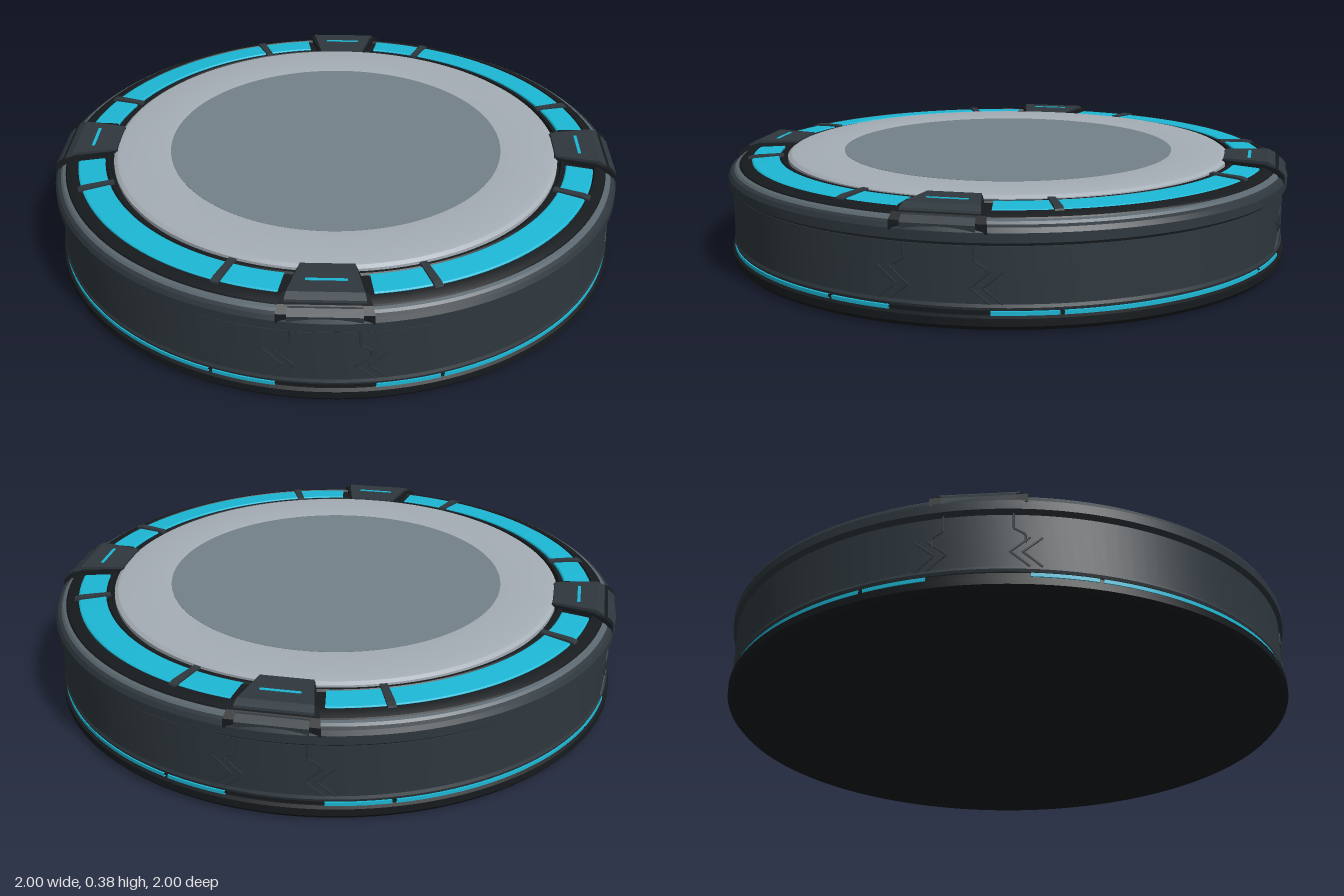
import * as THREE from 'three';
import { toCreasedNormals } from 'three/addons/utils/BufferGeometryUtils.js';

const mat = (color, side = THREE.FrontSide) => new THREE.MeshStandardMaterial({ color, side });
const DARK = mat(0x2f383e), BLACK = mat(0x171b1e), TRIM = mat(0x5a666e);
const CYAN = mat(0x1cb8d6, THREE.DoubleSide), SILVER = mat(0xa6aeb6), SLATE = mat(0x74828a);
const rad = THREE.MathUtils.degToRad;

function add(parent, name, geometry, material) {
  const mesh = new THREE.Mesh(geometry, material);
  mesh.name = name;
  parent.add(mesh);
  return mesh;
}

// Turned part from [radius, height] pairs; angles in degrees from the front
function turned(points, start = 0, sweep = 360) {
  const segments = Math.max(4, Math.round(sweep / 2.5));
  const profile = points.map(([r, y]) => new THREE.Vector2(r, y));
  return toCreasedNormals(new THREE.LatheGeometry(profile, segments, rad(start), rad(sweep)), 0.35);
}

// Radial [radius, height] outline, widening from inner to outer half width
function wedge(points, innerHalf, outerHalf) {
  const shape = new THREE.Shape(points.map(([r, y]) => new THREE.Vector2(r, y)));
  const geo = new THREE.ExtrudeGeometry(shape, { depth: 2, bevelEnabled: false });
  geo.translate(0, 0, -1);
  const radii = points.map((p) => p[0]);
  const min = Math.min(...radii), max = Math.max(...radii);
  const p = geo.attributes.position;
  for (let i = 0; i < p.count; i++) {
    const t = (p.getX(i) - min) / (max - min);
    p.setZ(i, p.getZ(i) * THREE.MathUtils.lerp(innerHalf, outerHalf, t));
  }
  geo.computeVertexNormals();
  return geo;
}

// Thin raised line on the side wall through [degrees, height] points
function wallLine(points) {
  const path = new THREE.CurvePath();
  const v = points.map(([a, y]) => new THREE.Vector3(0.986 * Math.cos(rad(a)), y, 0.986 * Math.sin(rad(a))));
  for (let i = 1; i < v.length; i++) path.add(new THREE.LineCurve3(v[i - 1], v[i]));
  return new THREE.TubeGeometry(path, 24, 0.004, 4);
}

// Bracket gripping the rim, with its local x pointing outward
function createClamp() {
  const clamp = new THREE.Group();
  clamp.name = 'rimClamp';
  add(clamp, 'clampBase', wedge(
    [[0.75, 0.335], [0.99, 0.3], [0.988, 0.33], [0.965, 0.35], [0.92, 0.363], [0.755, 0.366]], 0.08, 0.15), BLACK);
  add(clamp, 'clampPlate', wedge(
    [[0.775, 0.35], [0.96, 0.34], [0.955, 0.36], [0.93, 0.373], [0.78, 0.373]], 0.085, 0.125), DARK);
  add(clamp, 'clampFoot', wedge(
    [[0.94, 0.3], [0.993, 0.3], [0.993, 0.325], [0.975, 0.345], [0.94, 0.355]], 0.11, 0.115), DARK);
  const light = add(clamp, 'clampLight', new THREE.BoxGeometry(0.011, 0.006, 0.13), CYAN);
  light.position.set(0.867, 0.372, 0);
  // Wall detailing below the clamp: seams and chevrons pointing at its centre
  for (const s of [-1, 1]) {
    add(clamp, 'wallSeam', wallLine([[s * 6.2, 0.27], [s * 6.2, 0.215], [s * 8.2, 0.195], [s * 8.2, 0.165]]), DARK);
    for (const shift of [0, 2.2]) {
      add(clamp, 'wallChevron', wallLine(
        [[s * (9 + shift), 0.185], [s * (5.5 + shift), 0.135], [s * (9 + shift), 0.085]]), DARK);
    }
  }
  return clamp;
}

export function createModel() {
  const model = new THREE.Group();
  model.name = 'roundPlatform';

  // Stacked shell
  add(model, 'baseFlange', turned(
    [[0, 0], [0.965, 0], [0.985, 0.006], [0.997, 0.02], [0.997, 0.044], [0.985, 0.05], [0.9, 0.05]]), BLACK);
  add(model, 'lightGroove', turned([[0.98, 0.045], [0.98, 0.075]]), BLACK);
  add(model, 'sideWall', turned(
    [[0.95, 0.066], [0.987, 0.066], [0.99, 0.075], [0.986, 0.085], [0.986, 0.262], [0.95, 0.266]]), DARK);
  add(model, 'rim', turned(
    [[0.95, 0.26], [0.985, 0.263], [1, 0.275], [1, 0.305], [0.992, 0.32], [0.978, 0.327]]), DARK);
  add(model, 'rimTrim', turned([[0.98, 0.326], [0.973, 0.334], [0.962, 0.338]]), TRIM);
  add(model, 'rimShoulder', turned(
    [[0.962, 0.334], [0.958, 0.342], [0.935, 0.352], [0.922, 0.354], [0.918, 0.346], [0.82, 0.351],
      [0.815, 0.358], [0.805, 0.358], [0.8, 0.345], [0.77, 0.345]]), BLACK);

  // Raised centre
  add(model, 'centreRing', turned(
    [[0.792, 0.34], [0.792, 0.358], [0.78, 0.366], [0.765, 0.369], [0.61, 0.369], [0.59, 0.367], [0.59, 0.35]]), SILVER);
  add(model, 'centreDisc', turned([[0.591, 0.35], [0.591, 0.368], [0, 0.368]]), SLATE);

  // Four quarters, each with light segments, dividers and a clamp
  const cuts = [-36.3, -23.5, 23.5, 36.3];
  for (let q = 0; q < 4; q++) {
    for (let i = 0; i < 3; i++) {
      const start = q * 90 + cuts[i] + 0.4, sweep = cuts[i + 1] - cuts[i] - 0.8;
      add(model, 'topLight', turned(
        [[0.917, 0.344], [0.917, 0.352], [0.912, 0.355], [0.826, 0.36], [0.822, 0.357], [0.822, 0.348]],
        start, sweep), CYAN);
      add(model, 'baseLight', turned(
        [[0.975, 0.051], [0.989, 0.051], [0.989, 0.063], [0.975, 0.063]], start, sweep), CYAN);
    }
    for (const a of [-23.5, 23.5]) {
      const divider = add(model, 'lightDivider', wedge(
        [[0.802, 0.345], [0.935, 0.343], [0.93, 0.358], [0.91, 0.363], [0.806, 0.366]], 0.012, 0.014), DARK);
      divider.rotation.y = rad(q * 90 + a);
    }
    const clamp = createClamp();
    clamp.rotation.y = rad(45 + q * 90);
    model.add(clamp);
  }
  return model;
}
